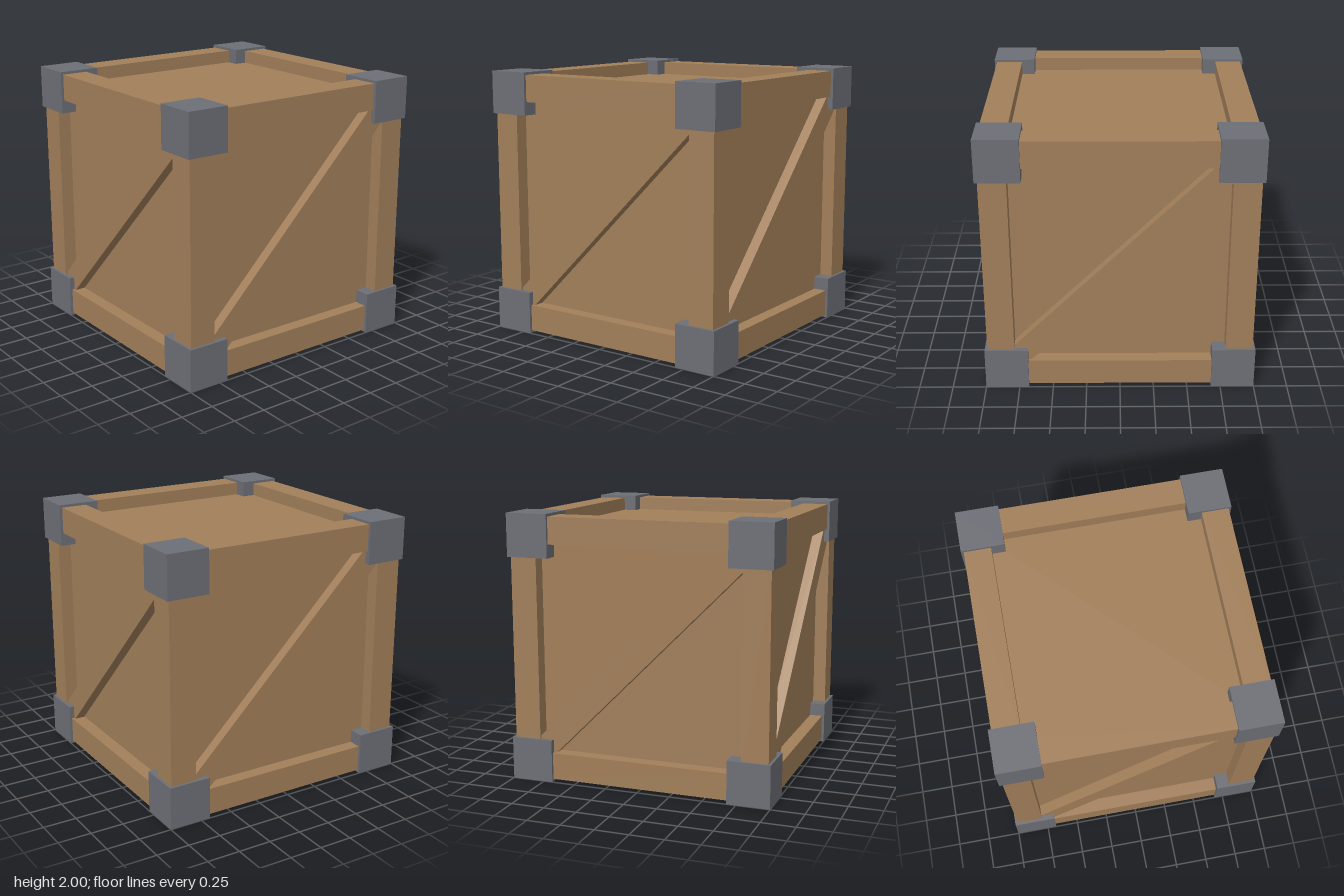
import * as THREE from 'three';

export function createModel() {
  const crate = new THREE.Group();
  crate.name = 'crate';

  const wood = new THREE.MeshStandardMaterial({ color: 0xa27f5a });
  wood.name = 'wood';
  const metal = new THREE.MeshStandardMaterial({ color: 0x6d6f76 });
  metal.name = 'metal';

  const add = (name, geometry, material, x = 0, y = 0, z = 0) => {
    const mesh = new THREE.Mesh(geometry, material);
    mesh.name = name;
    mesh.position.set(x, y + 1, z);
    crate.add(mesh);
    return mesh;
  };

  // Recessed panels form one inner box
  add('panels', new THREE.BoxGeometry(1.76, 1.76, 1.76), wood);

  // Twelve frame beams, four along each axis, ending inside the corner blocks
  const thick = 0.2, length = 1.5, mid = 0.88;
  const beamX = new THREE.BoxGeometry(length, thick, thick);
  const beamY = new THREE.BoxGeometry(thick, length, thick);
  const beamZ = new THREE.BoxGeometry(thick, thick, length);
  for (const a of [-mid, mid]) {
    for (const b of [-mid, mid]) {
      add('crossBeam', beamX, wood, 0, a, b);
      add('post', beamY, wood, a, 0, b);
      add('sideBeam', beamZ, wood, a, b, 0);
    }
  }

  // Eight metal corner blocks
  const block = new THREE.BoxGeometry(0.32, 0.32, 0.32);
  for (const x of [-0.84, 0.84])
    for (const y of [-0.84, 0.84])
      for (const z of [-0.84, 0.84]) add('cornerBlock', block, metal, x, y, z);

  // Diagonal brace on each of the four walls, cut to fit inside the frame
  const r = 0.78, c = 0.657;
  const outline = new THREE.Shape(
    [[-r, -r], [-c, -r], [r, c], [r, r], [c, r], [-r, -c]].map(([x, y]) => new THREE.Vector2(x, y))
  );
  const braceGeometry = new THREE.ExtrudeGeometry(outline, { depth: 0.1, bevelEnabled: false });
  braceGeometry.translate(0, 0, 0.86);
  for (let i = 0; i < 4; i++) {
    add('diagonalBrace', braceGeometry, wood).rotation.y = (i * Math.PI) / 2;
  }

  return crate;
}
